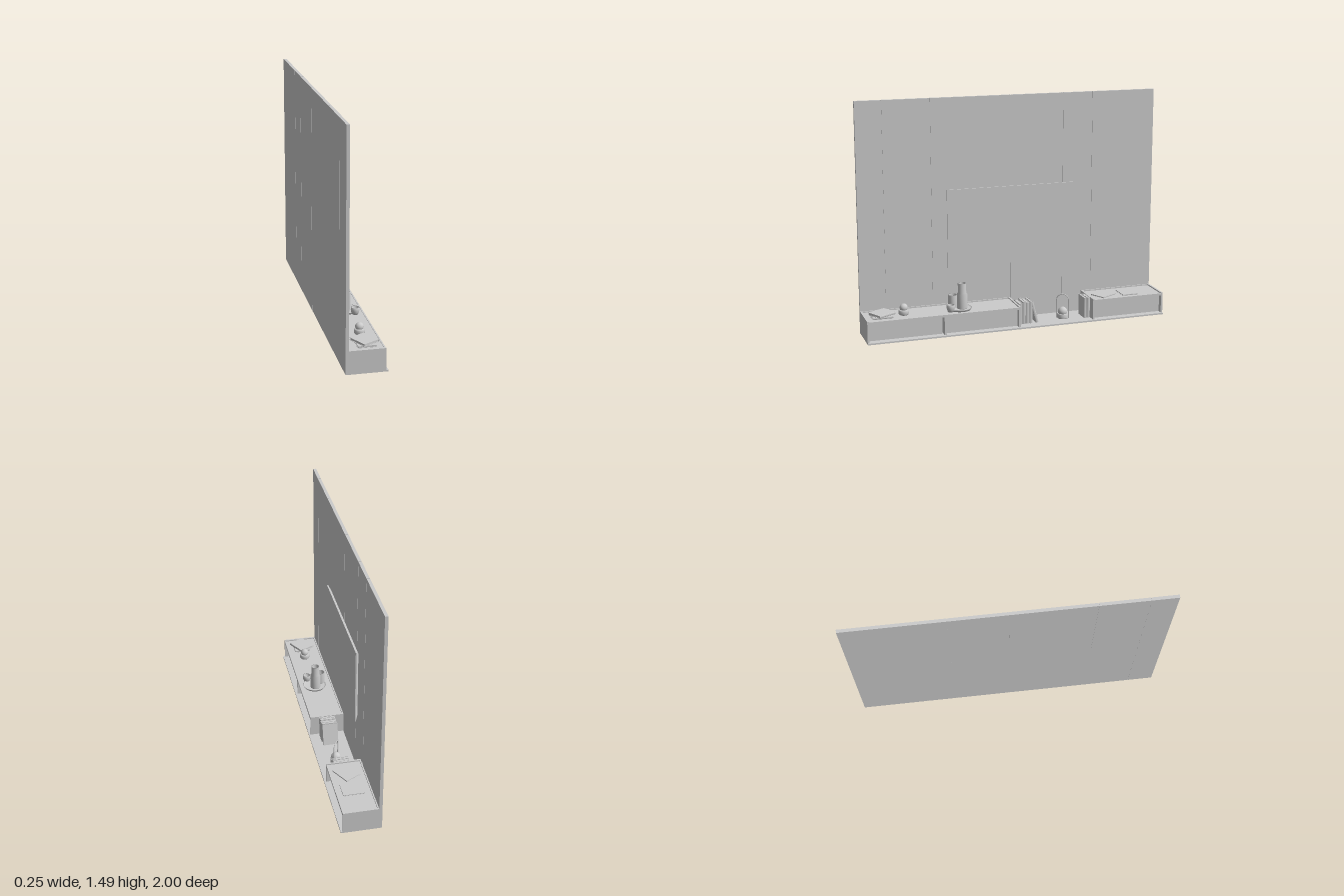
import * as THREE from 'three';

const material = new THREE.MeshStandardMaterial({ color: 0xcccccc });
const thin = new THREE.MeshStandardMaterial({ color: 0xcccccc, side: THREE.DoubleSide });

export function createModel() {
  const model = new THREE.Group();

  const add = (name, geometry, x, y, z, parent = model, mat = material) => {
    const mesh = new THREE.Mesh(geometry, mat);
    mesh.name = name;
    mesh.position.set(x, y, z);
    parent.add(mesh);
    return mesh;
  };
  // box given by its limits on each axis
  const box = (name, x0, x1, y0, y1, z0, z1, parent) =>
    add(name, new THREE.BoxGeometry(x1 - x0, y1 - y0, z1 - z0),
      (x0 + x1) / 2, (y0 + y1) / 2, (z0 + z1) / 2, parent);
  const lathe = (name, points, x, y, z, parent) =>
    add(name, new THREE.LatheGeometry(points.map(p => new THREE.Vector2(...p)), 32), x, y, z, parent, thin);
  const group = (name, x = 0, y = 0, z = 0) => {
    const g = new THREE.Group();
    g.name = name;
    g.position.set(x, y, z);
    model.add(g);
    return g;
  };

  // wall of upright panels with narrow seams
  const wall = group('wallPanels');
  const seams = [-1, -0.565, -0.362, 0, 0.525, 0.833, 1];
  for (let i = 0; i < seams.length - 1; i++) {
    const a = seams[i] + (i ? 0.002 : 0);
    const b = seams[i + 1] - (i < seams.length - 2 ? 0.002 : 0);
    box('wallPanel', -0.128, -0.108, 0, 1.485, a, b, wall);
  }
  box('wallCore', -0.127, -0.111, 0.002, 1.483, -0.998, 0.998, wall);

  // flat screen: back tapers towards the wall
  const screen = group('television');
  box('screenPanel', -0.093, -0.085, 0.39, 0.9, -0.427, 0.427, screen);
  const back = new THREE.BoxGeometry(0.015, 0.506, 0.85);
  const p = back.attributes.position;
  for (let i = 0; i < p.count; i++) {
    if (p.getX(i) < 0) p.setXYZ(i, p.getX(i), p.getY(i) * 0.9, p.getZ(i) * 0.94);
  }
  back.computeVertexNormals();
  add('screenBack', back, -0.1005, 0.645, 0, screen);

  // base slab and low cabinets
  box('baseSlab', -0.108, 0.127, 0, 0.01, -1, 1);
  const cabinet = (z0, z1, dividers) => {
    const g = group('cabinet');
    const t = 0.012;
    box('cabinetTop', -0.108, 0.113, 0.128, 0.14, z0 + t, z1 - t, g);
    box('cabinetEnd', -0.108, 0.115, 0.01, 0.148, z0, z0 + t, g);
    box('cabinetEnd', -0.108, 0.115, 0.01, 0.148, z1 - t, z1, g);
    box('rearRail', -0.108, -0.1, 0.14, 0.148, z0 + t, z1 - t, g);
    box('frontRail', 0.106, 0.115, 0.128, 0.143, z0 + t, z1 - t, g);
    dividers.forEach(z => box('divider', -0.108, 0.113, 0.01, 0.128, z - 0.006, z + 0.006, g));
    const stops = [z0, ...dividers, z1];
    for (let i = 0; i < stops.length - 1; i++) {
      box('drawerFront', 0.072, 0.086, 0.012, 0.124, stops[i] + 0.013, stops[i + 1] - 0.013, g);
    }
    box('cabinetBack', -0.108, -0.1, 0.01, 0.128, z0 + t, z1 - t, g);
  };
  cabinet(0, 1, [0.5]);
  cabinet(-1, -0.5, []);

  // closed book: page block, two covers and a rounded spine at +x, thickness along z
  const book = (w, h, t) => {
    const g = new THREE.Group();
    g.name = 'book';
    const c = t * 0.12;
    box('pages', -w / 2 + 0.003, w / 2 - 0.003, 0.003, h - 0.003, -t / 2 + c, t / 2 - c, g);
    [-1, 1].forEach(s => add('cover', new THREE.BoxGeometry(w, h, c), 0, h / 2, s * (t - c) / 2, g));
    const spine = new THREE.CylinderGeometry(t / 2, t / 2, h, 12, 1, false, 0, Math.PI);
    spine.scale(0.4, 1, 1);
    add('spine', spine, w / 2 - 0.001, h / 2, 0, g, thin);
    return g;
  };
  const place = (b, x, y, z, rx = 0, ry = 0) => {
    b.position.set(x, y, z);
    b.rotation.set(rx, ry, 0);
    model.add(b);
  };

  // upright books on the open shelf, the last ones leaning
  [[0.026, 0.14], [0.02, 0.148], [0.026, 0.143], [0.018, 0.148]].reduce((z, [t, h]) => {
    place(book(0.1, h, t), 0.006, 0.01, z - t / 2);
    return z - t - 0.001;
  }, -0.006);
  place(book(0.1, 0.144, 0.018), 0.006, 0.012, -0.133, 0.26);
  place(book(0.1, 0.138, 0.018), 0.012, 0.01, -0.466);
  place(book(0.1, 0.138, 0.02), 0.012, 0.01, -0.488);

  // books lying flat: thickness turned upright
  const flatBook = (x, y, z, w, d, t, turn) => {
    const holder = group('flatBook', x, y, z);
    holder.rotation.y = turn;
    const b = book(w, d, t);
    b.rotation.x = Math.PI / 2;
    b.position.set(0, t / 2, -d / 2);
    holder.add(b);
  };
  flatBook(0.01, 0.14, 0.89, 0.11, 0.13, 0.013, 0);
  flatBook(0.008, 0.153, 0.885, 0.11, 0.13, 0.016, 0.5);
  flatBook(0.008, 0.14, -0.615, 0.11, 0.135, 0.008, 0.5);
  flatBook(0.008, 0.14, -0.78, 0.135, 0.105, 0.008, 0);

  // lantern: foot, glass ball and arched handle
  const lantern = group('lantern', 0.013, 0.01, -0.325);
  lantern.rotation.y = 1.05;
  lathe('lanternFoot', [[0, 0], [0.034, 0], [0.036, 0.004], [0.036, 0.028], [0.03, 0.032], [0, 0.032]], 0, 0, 0, lantern);
  add('lanternBall', new THREE.SphereGeometry(0.031, 28, 18), 0, 0.044, 0, lantern);
  const path = new THREE.CurvePath();
  const arc = Array.from({ length: 17 }, (_, i) => {
    const a = Math.PI * i / 16;
    return new THREE.Vector3(0.04 * Math.cos(a), 0.122 + 0.04 * Math.sin(a), 0);
  });
  const handle = [new THREE.Vector3(0.04, 0, 0), new THREE.Vector3(0.04, 0.06, 0), ...arc,
    new THREE.Vector3(-0.04, 0.06, 0), new THREE.Vector3(-0.04, 0, 0)];
  for (let i = 1; i < handle.length; i++) path.add(new THREE.LineCurve3(handle[i - 1], handle[i]));
  add('lanternHandle', new THREE.TubeGeometry(path, 80, 0.0035, 8), 0, 0, 0, lantern);

  // round tray with vases and a cup
  const tray = group('trayWithVases', 0, 0.14, 0);
  lathe('tray', [[0, 0], [0.07, 0], [0.077, 0.012], [0.074, 0.012], [0.068, 0.005], [0, 0.005]], 0.013, 0, 0.378, tray);
  lathe('tallVase', [[0, 0], [0.033, 0], [0.034, 0.003], [0.034, 0.095], [0.027, 0.1], [0.027, 0.165],
    [0.022, 0.165], [0.022, 0.11], [0, 0.11]], 0.011, 0.005, 0.362, tray);
  lathe('shortVase', [[0, 0], [0.027, 0], [0.029, 0.003], [0.029, 0.08], [0.024, 0.08], [0.024, 0.02], [0, 0.02]],
    -0.034, 0.005, 0.412, tray);
  lathe('cup', [[0, 0], [0.018, 0], [0.024, 0.014], [0.027, 0.03], [0.025, 0.045], [0.021, 0.045], [0.02, 0.02], [0, 0.015]],
    0.055, 0.002, 0.45, tray);

  // lidded jar with a ball on top
  const jar = group('jar', 0.013, 0.14, 0.745);
  lathe('jarBody', [[0, 0], [0.026, 0], [0.033, 0.008], [0.033, 0.028], [0.027, 0.034], [0, 0.034]], 0, 0, 0, jar);
  add('jarBall', new THREE.SphereGeometry(0.026, 24, 16), 0, 0.046, 0, jar);

  return model;
}
